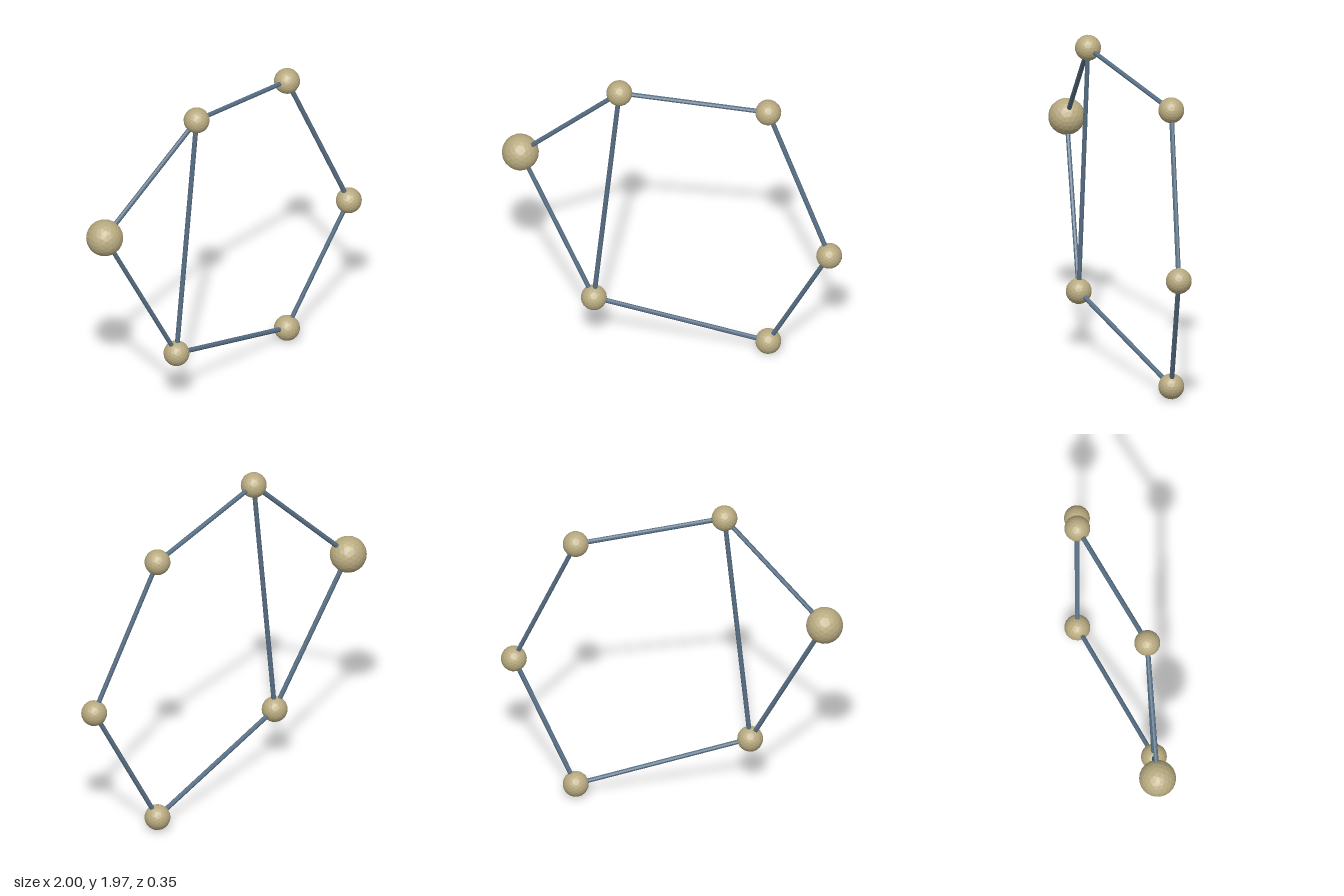
import * as THREE from 'three';

export function createModel() {
  const model = new THREE.Group();
  const ballMaterial = new THREE.MeshStandardMaterial({ color: 0xb8aa80, flatShading: true });
  const rodMaterial = new THREE.MeshStandardMaterial({ color: 0x587086, flatShading: true });

  // Joint positions around the puckered ring
  const joints = [
    [-0.893, 1.289, 0],
    [-0.289, 1.893, 0.098],
    [0.545, 1.741, -0.098],
    [0.925, 0.834, 0],
    [0.545, 0.075, -0.098],
    [-0.439, 0.38, 0.098],
  ].map((p) => new THREE.Vector3(...p));

  // Faceted balls, the first one larger
  const smallBall = new THREE.IcosahedronGeometry(0.075, 3);
  const largeBall = new THREE.IcosahedronGeometry(0.107, 3);
  joints.forEach((p, i) => {
    const ball = new THREE.Mesh(i === 0 ? largeBall : smallBall, ballMaterial);
    ball.name = i === 0 ? 'largeBall' : 'smallBall' + i;
    ball.position.copy(p);
    model.add(ball);
  });

  // Thin rod between two joints
  const up = new THREE.Vector3(0, 1, 0);
  function addRod(a, b, name) {
    const direction = b.clone().sub(a);
    const rod = new THREE.Mesh(
      new THREE.CylinderGeometry(0.014, 0.014, direction.length(), 8),
      rodMaterial,
    );
    rod.name = name;
    rod.position.copy(a).add(b).multiplyScalar(0.5);
    rod.quaternion.setFromUnitVectors(up, direction.normalize());
    model.add(rod);
  }

  // Outer ring and the cross rod
  joints.forEach((p, i) => addRod(p, joints[(i + 1) % joints.length], 'ringRod' + i));
  addRod(joints[5], joints[1], 'crossRod');

  return model;
}
